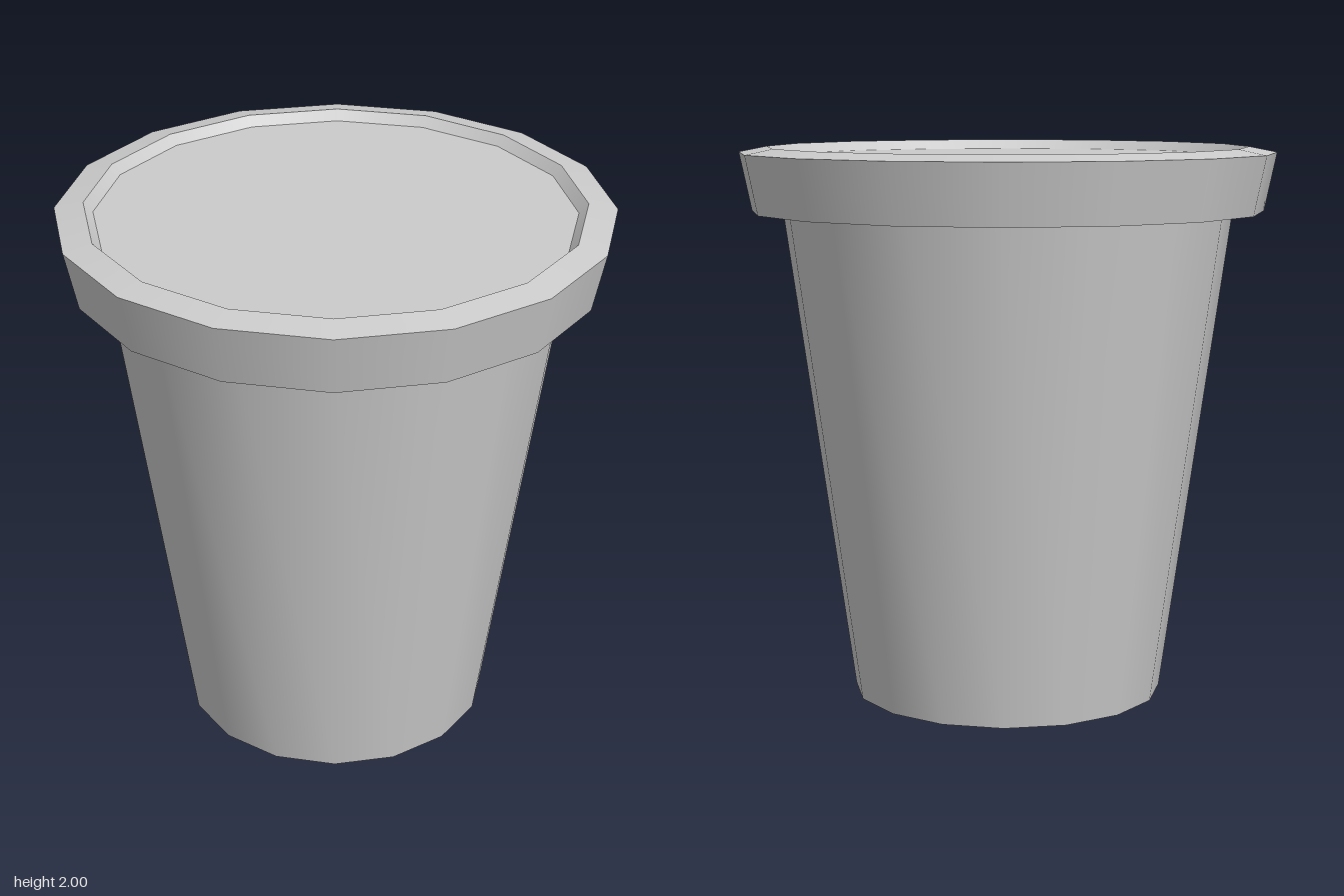
import * as THREE from 'three';
import { mergeGeometries } from 'three/addons/utils/BufferGeometryUtils.js';

const SIDES = 16;

// One lathed band per profile segment: smooth around, sharp between bands
function bands(name, profile, material) {
  const parts = [];
  for (let i = 0; i < profile.length - 1; i++) {
    const points = [profile[i], profile[i + 1]].map(([r, y]) => new THREE.Vector2(r, y));
    parts.push(new THREE.LatheGeometry(points, SIDES));
  }
  const mesh = new THREE.Mesh(mergeGeometries(parts), material);
  mesh.name = name;
  return mesh;
}

export function createModel() {
  const group = new THREE.Group();
  group.name = 'flowerPot';
  const grey = new THREE.MeshStandardMaterial({ color: 0xcccccc });

  // Closed base and tapered wall
  group.add(bands('body', [[0, 0], [0.567, 0], [0.815, 1.77]], grey));

  // Collar: underside, flared side, sloping top and short inner wall
  group.add(bands('rim', [[0.815, 1.77], [0.928, 1.77], [0.972, 1.98], [0.87, 2], [0.838, 1.965]], grey));

  // Flat filling just below the rim
  group.add(bands('soil', [[0.838, 1.965], [0, 1.965]], grey));

  return group;
}
